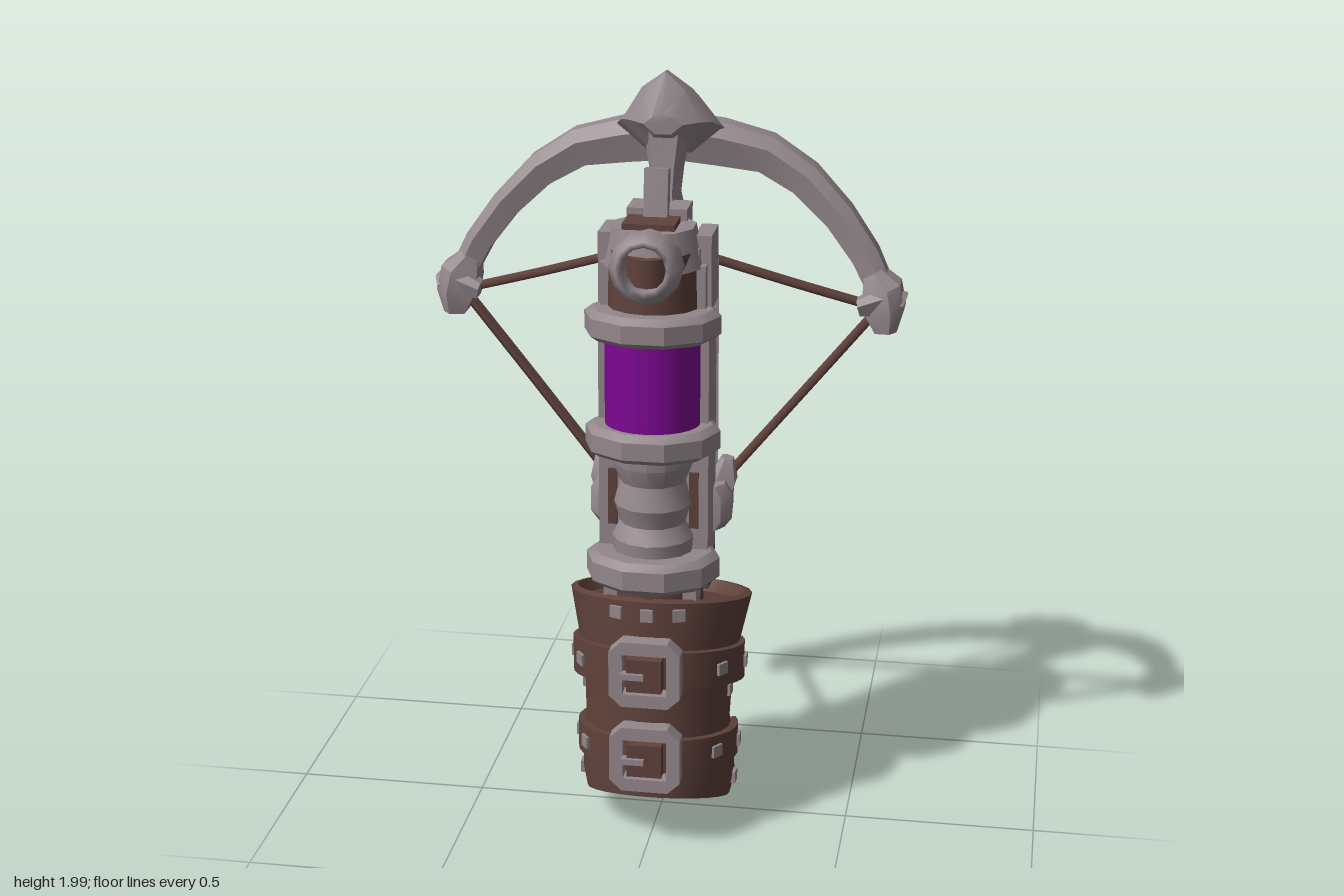
import * as THREE from 'three';
import { toCreasedNormals } from 'three/addons/utils/BufferGeometryUtils.js';

const metal = new THREE.MeshStandardMaterial({ color: 0x94888c, side: THREE.DoubleSide });
metal.name = 'grey metal';
const leather = new THREE.MeshStandardMaterial({ color: 0x60423c, side: THREE.DoubleSide });
leather.name = 'brown leather';
const glass = new THREE.MeshStandardMaterial({ color: 0x7e0694 });
glass.name = 'purple vial';

const V = (x, y, z) => new THREE.Vector3(x, y, z);

// Skin over a list of cross-sections, each running counter-clockwise about the path
function loft(rings, { closed = true, cap = true, crease = 0.5 } = {}) {
  const n = rings[0].length, pos = [], idx = [];
  rings.forEach(r => r.forEach(p => pos.push(p.x, p.y, p.z)));
  const span = closed ? n : n - 1;
  for (let j = 0; j < rings.length - 1; j++) {
    for (let i = 0; i < span; i++) {
      const a = j * n + i, b = j * n + (i + 1) % n;
      idx.push(a, b, b + n, a, b + n, a + n);
    }
  }
  if (cap) [0, rings.length - 1].forEach((j, end) => {
    const c = rings[j].reduce((s, p) => s.add(p), V(0, 0, 0)).divideScalar(n);
    const k = pos.length / 3;
    pos.push(c.x, c.y, c.z);
    for (let i = 0; i < n; i++) {
      const a = j * n + i, b = j * n + (i + 1) % n;
      if (end) idx.push(a, b, k); else idx.push(b, a, k);
    }
  });
  const g = new THREE.BufferGeometry();
  g.setAttribute('position', new THREE.Float32BufferAttribute(pos, 3));
  g.setIndex(idx);
  return toCreasedNormals(g, crease);
}

// Elliptical section around y, raised at the front by slope
function oval(y, rx, rz, cz, slope = 0, n = 24, half = 0) {
  return Array.from({ length: half ? n + 1 : n }, (_, i) => {
    const a = half ? -half + 2 * half * i / n : 2 * Math.PI * (i + 0.5) / n;
    return V(rx * Math.sin(a), y + slope * Math.cos(a), cz + rz * Math.cos(a));
  });
}

// Bar in the x-y plane; rows are [x, y, z, thickness, depth]
function bar(rows) {
  return loft(rows.map(([x, y, z, t, d], i) => {
    const p = rows[Math.max(i - 1, 0)], q = rows[Math.min(i + 1, rows.length - 1)];
    const dir = V(q[0] - p[0], q[1] - p[1], 0).normalize();
    return [[1, 0.55], [0.35, 1], [-1, 0.7], [-1, -0.7], [0.35, -1], [1, -0.55]].map(([u, v]) =>
      V(x - dir.y * u * t / 2, y + dir.x * u * t / 2, z + v * d / 2));
  }));
}

// Mirror a geometry in x, keeping its faces outward
function mirrored(geo) {
  const g = geo.index ? geo.toNonIndexed() : geo.clone();
  g.scale(-1, 1, 1);
  for (const at of [g.attributes.position, g.attributes.normal]) {
    for (let i = 0; i < at.count; i += 3) for (let k = 0; k < 3; k++) {
      const t = at.getComponent(i + 1, k);
      at.setComponent(i + 1, k, at.getComponent(i + 2, k));
      at.setComponent(i + 2, k, t);
    }
  }
  return g;
}

export function createModel() {
  const model = new THREE.Group();
  model.name = 'wristCrossbow';
  const add = (name, geo, mat) => {
    const m = new THREE.Mesh(geo, mat);
    m.name = name;
    model.add(m);
    return m;
  };
  const pair = (name, geo, mat) => {
    add(name + 'Left', geo, mat);
    add(name + 'Right', mirrored(geo), mat);
  };
  const box = (x0, x1, y0, y1, z0, z1) => new THREE.BoxGeometry(x1 - x0, y1 - y0, z1 - z0)
    .translate((x0 + x1) / 2, (y0 + y1) / 2, (z0 + z1) / 2);
  const cyl = (r0, r1, y0, y1, z, n = 16) =>
    new THREE.CylinderGeometry(r1, r0, y1 - y0, n).translate(0, (y0 + y1) / 2, z);

  // Leather cuff with hollow ends
  add('cuff', loft([
    oval(0.19, 0.06, 0.05, 0.08, 0.03), oval(0.09, 0.15, 0.145, 0.055, 0.06),
    oval(0.08, 0.19, 0.185, 0.055, 0.07), oval(0.13, 0.203, 0.202, 0.038, 0.07),
    oval(0.22, 0.198, 0.19, 0.052, 0.06), oval(0.315, 0.19, 0.18, 0.06, 0.045),
    oval(0.42, 0.195, 0.19, 0.05, 0.04), oval(0.52, 0.212, 0.21, 0.03, 0.045),
    oval(0.64, 0.238, 0.237, 0, 0.06), oval(0.645, 0.22, 0.22, 0, 0.06),
    oval(0.615, 0.2, 0.2, 0.005, 0.055),
  ], { crease: 0.7 }), leather);

  // Straps, buckles and rivets
  const rivet = (a, y, rx, rz, cz) => {
    const m = add('rivet', new THREE.BoxGeometry(0.032, 0.032, 0.014), metal);
    m.position.set(rx * Math.sin(a), y, cz + rz * Math.cos(a));
    m.rotation.y = a;
  };
  for (const [y, rx, rz, cz, slope, h] of [[0.47, 0.226, 0.215, 0.04, 0.05, 0.05], [0.245, 0.212, 0.202, 0.054, 0.035, 0.042]]) {
    const arc = (dy, d) => oval(y + dy, rx - d, rz - d, cz, slope, 22, 1.95);
    add('strap', loft([arc(-h, 0.03), arc(-h, 0), arc(h, 0), arc(h, 0.03)], { closed: false, cap: false }), leather);
    for (const a of [0.95, 1.6]) for (const s of [-1, 1]) rivet(s * a, y + slope * Math.cos(a), rx, rz, cz);

    const by = y + slope - 0.005;
    const frame = new THREE.Shape([[-0.06, -0.09], [0.06, -0.09], [0.092, -0.06], [0.092, 0.06],
      [0.06, 0.09], [-0.06, 0.09], [-0.092, 0.06], [-0.092, -0.06]].map(p => new THREE.Vector2(...p)));
    frame.holes.push(new THREE.Path([[-0.057, -0.055], [-0.057, 0.055], [0.057, 0.055], [0.057, -0.055]]
      .map(p => new THREE.Vector2(...p))));
    add('buckleFrame', new THREE.ExtrudeGeometry(frame, { depth: 0.045, bevelEnabled: false })
      .translate(0, by, 0.235), metal);
    add('buckleTongue', box(-0.045, 0.045, by - 0.045, by + 0.045, 0.22, 0.285), leather);
    add('bucklePin', box(-0.06, 0.0, by - 0.008, by + 0.008, 0.27, 0.295), metal);
  }
  for (const a of [-0.36, 0, 0.36]) rivet(a, 0.665, 0.228, 0.228, 0.01);
  for (const s of [-1, 1]) {
    rivet(s * 1.5, 0.135, 0.203, 0.202, 0.038);
    rivet(s * 1.45, 0.4, 0.192, 0.188, 0.05);
  }

  // Main body: core, lower pipe and vial
  add('bodyCore', box(-0.115, 0.115, 0.7, 1.6, -0.005, 0.13), metal);
  add('neck', cyl(0.13, 0.12, 0.58, 0.78, 0.1, 12), leather);
  pair('neckPlate', box(0.085, 0.12, 0.66, 0.76, 0.06, 0.19), metal);
  add('lowerPipe', toCreasedNormals(new THREE.LatheGeometry([[0.1, 0.78], [0.105, 0.85], [0.085, 0.89],
    [0.1, 0.94], [0.085, 1.0], [0.105, 1.05], [0.105, 1.1]].map(p => new THREE.Vector2(...p)), 14)
    .translate(0, 0, 0.13), 0.5), metal);
  pair('pipeStrip', box(0.092, 0.116, 0.87, 1.02, 0.1, 0.137), leather);
  add('vial', cyl(0.12, 0.12, 1.13, 1.4, 0.14, 24), glass);

  // Upper barrel: leather sleeve under a metal collar
  add('upperBarrel', cyl(0.115, 0.11, 1.42, 1.6, 0.12, 14), leather);
  add('barrelCollar', cyl(0.125, 0.105, 1.555, 1.655, 0.11, 10), metal);
  add('barrelTop', box(-0.07, 0.06, 1.64, 1.67, 0.08, 0.175), leather);

  // Clamping bands
  for (const [y, h] of [[0.77, 0.042], [1.115, 0.038], [1.415, 0.038]]) {
    const b = (dy, g) => oval(y + dy, 0.172 - g, 0.158 - g, 0.138, 0.008, 10);
    add('clampBand', loft([b(-h, 0.02), b(-h * 0.6, 0), b(h * 0.6, 0), b(h, 0.02)]), metal);
  }

  // Round nozzle on the front of the barrel
  const nozzle = add('nozzle', new THREE.LatheGeometry([[0.055, -0.05], [0.055, 0.08], [0.07, 0.085],
    [0.09, 0.055], [0.085, -0.08]].map(p => new THREE.Vector2(...p)).reverse(), 12), metal);
  nozzle.position.set(0, 1.575, 0.195);
  nozzle.rotation.x = Math.PI / 2 - 0.1;
  add('nozzleCore', cyl(0.05, 0.05, 1.53, 1.6, 0.2, 10), leather);

  // Side plates and long rails
  pair('shoulderPlate', box(0.1, 0.142, 1.44, 1.63, -0.01, 0.11), metal);
  pair('shoulderLug', box(0.095, 0.132, 1.45, 1.56, 0.1, 0.14), metal);
  pair('sideRail', box(0.105, 0.14, 0.78, 1.42, 0.0, 0.13), metal);
  pair('leatherRail', box(0.07, 0.13, 0.66, 1.53, -0.035, 0.0), leather);
  pair('lowerBlock', box(0.06, 0.128, 0.66, 0.81, -0.085, 0.03), leather);
  pair('backRail', loft([[0.8, -0.035, -0.1], [0.95, -0.035, -0.12], [1.23, -0.03, -0.135], [1.42, -0.03, -0.11], [1.54, -0.02, -0.08]]
    .map(([y, f, b]) => [V(0.085, y, f), V(0.09, y, b), V(0.125, y, b), V(0.142, y, f)].reverse())), metal);
  pair('innerRail', box(0.028, 0.075, 0.82, 1.54, -0.1, 0), leather);
  add('grooveFloor', box(-0.04, 0.04, 0.7, 1.54, -0.035, 0), leather);

  // Rear clasp with pointed tail and string lugs
  const clasp = (y, g) => [[0.16, 0.04], [0.185, 0.01], [0.175, -0.1], [0.09, -0.15], [-0.09, -0.15],
    [-0.175, -0.1], [-0.185, 0.01], [-0.16, 0.04]].map(([x, z]) => V(x * (1 - g), y - z * 0.1, z * (1 - g)));
  add('rearClasp', loft([clasp(0.83, 0.1), clasp(0.855, 0), clasp(0.92, 0), clasp(0.95, 0.1)]), metal);
  pair('stringLug', bar([[0.13, 0.87, -0.03, 0.07, 0.07], [0.155, 0.95, -0.04, 0.07, 0.08], [0.165, 1.0, -0.05, 0.03, 0.04]]), metal);
  add('tail', loft([[0.6, 0.008, -0.11, -0.08], [0.7, 0.055, -0.13, -0.055], [0.87, 0.065, -0.14, -0.03]]
    .map(([y, w, b, f]) => [V(-w, y, f), V(w, y, f), V(w * 0.8, y, b), V(-w * 0.8, y, b)])), metal);

  // Post carrying the bow, with a sight in front of it
  add('bowPost', loft([[1.46, 0.07, -0.09, 0.02], [1.6, 0.065, -0.105, 0.02], [1.7, 0.04, -0.11, -0.01],
    [1.76, 0.045, -0.13, -0.02], [1.9, 0.07, -0.14, -0.03]]
    .map(([y, w, b, f]) => [V(-w * 0.6, y, f), V(w * 0.6, y, f), V(w, y, (f + b) / 2),
      V(w * 0.6, y, b), V(-w * 0.6, y, b), V(-w, y, (f + b) / 2)])), metal);
  const sight = add('sight', new THREE.BoxGeometry(0.06, 0.13, 0.035), metal);
  sight.position.set(0, 1.72, 0.075);
  sight.rotation.x = -0.15;
  add('sightBase', box(-0.075, 0.075, 1.59, 1.685, -0.02, 0.075), metal);

  // Peaked bow head: rows are [z, half width, top, side, bottom]
  add('bowHead', loft([[-0.305, 0.115, 1.835, 1.79, 1.765], [-0.22, 0.138, 1.9, 1.81, 1.775],
    [-0.13, 0.135, 1.965, 1.85, 1.78], [-0.085, 0.115, 1.998, 1.87, 1.79], [-0.055, 0.09, 1.998, 1.875, 1.81],
    [-0.015, 0.05, 1.9, 1.875, 1.85]]
    .map(([z, w, t, m, b]) => [V(w, m, z), V(w * 0.55, t * 0.65 + m * 0.35, z), V(0, t, z),
      V(-w * 0.55, t * 0.65 + m * 0.35, z), V(-w, m, z), V(-w * 0.4, b, z), V(w * 0.4, b, z)])), metal);

  // Curved limbs and knobbed tips
  pair('bowLimb', bar([[0.03, 1.81, -0.18, 0.11, 0.11], [0.12, 1.8, -0.185, 0.11, 0.11], [0.24, 1.775, -0.19, 0.095, 0.1],
    [0.34, 1.715, -0.18, 0.085, 0.1], [0.43, 1.625, -0.168, 0.075, 0.1], [0.5, 1.53, -0.152, 0.07, 0.095],
    [0.545, 1.44, -0.137, 0.065, 0.09]]), metal);
  pair('limbTip', bar([[0.52, 1.49, -0.135, 0.05, 0.09], [0.545, 1.45, -0.125, 0.1, 0.12],
    [0.555, 1.4, -0.12, 0.1, 0.13], [0.56, 1.345, -0.11, 0.055, 0.09]]), metal);
  pair('tipCatch', bar([[0.49, 1.41, -0.09, 0.04, 0.07], [0.55, 1.425, -0.11, 0.07, 0.09], [0.597, 1.405, -0.12, 0.07, 0.08]]), metal);

  // Bow strings
  const cord = (pts, r) => new THREE.TubeGeometry(new THREE.CatmullRomCurve3(pts), 10, r, 5);
  for (const d of [-0.01, 0.01]) {
    pair('upperString', cord([V(0.53, 1.405, -0.115 + d), V(0.33, 1.465, -0.085 + d), V(0.13, 1.53, -0.05 + d)], 0.01), leather);
    pair('lowerString', cord([V(0.53, 1.39, -0.115 + d), V(0.35, 1.17, -0.1 + d), V(0.16, 0.94, -0.075 + d)], 0.011), leather);
  }
  add('centreString', cord([V(0, 1.8, -0.17), V(0, 1.58, -0.205), V(0, 1.35, -0.22), V(0, 1.12, -0.19), V(0, 0.92, -0.13)], 0.012), leather);

  return model;
}
